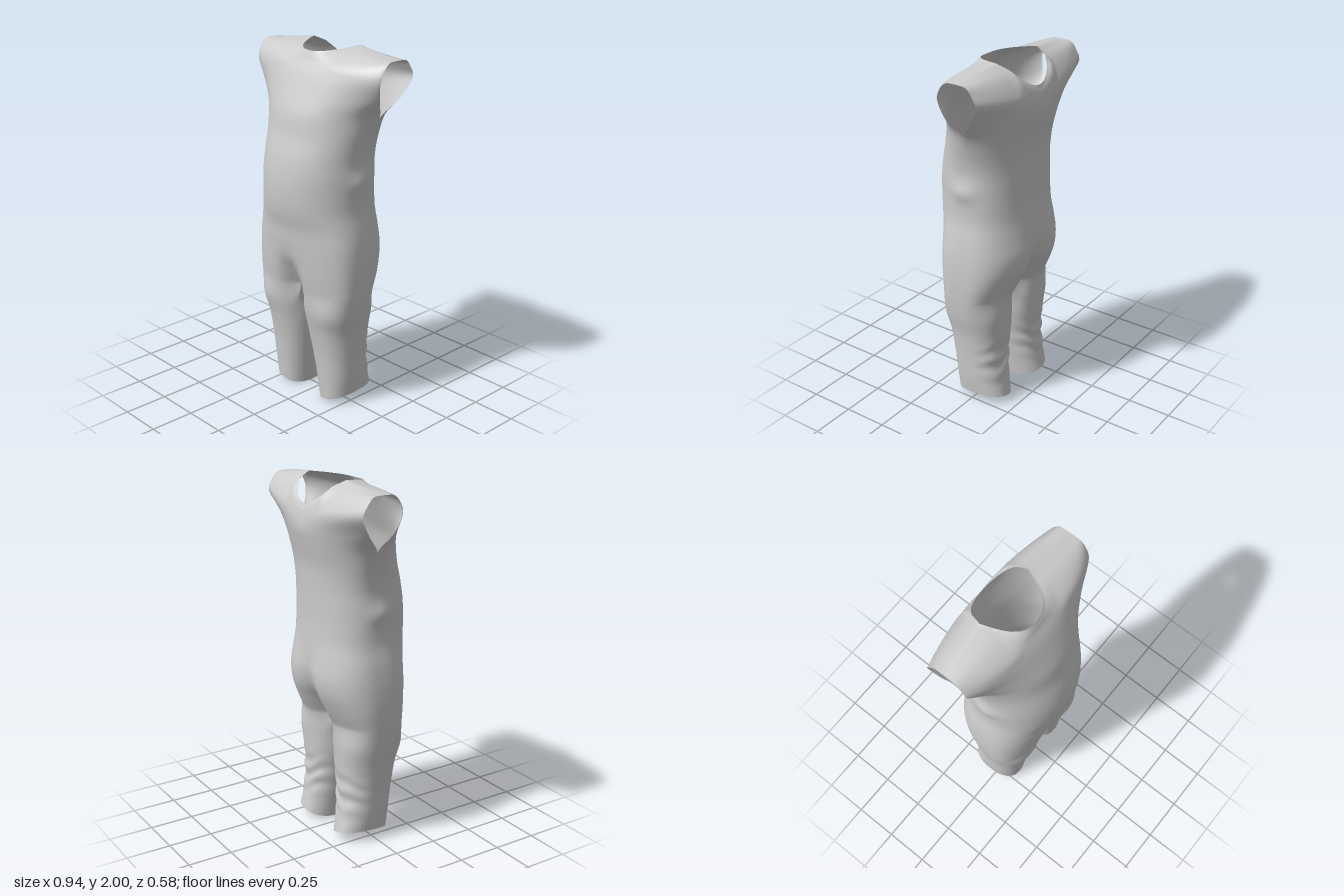
import * as THREE from 'three';
import { mergeGeometries, mergeVertices } from 'three/addons/utils/BufferGeometryUtils.js';

const N = 64;          // columns across one torso panel
const INNER = 20;      // extra columns on the inside of a leg
const CX = -0.012;     // slight sideways lean of the hips
const REACH = 0.47;    // half width over the sleeves
const NECK = REACH * Math.sin(Math.PI / 8); // half width of the neck opening

// Closed levels: y, centre x, half width, front z, back z, side z,
// front and back roundness, front and back crease
const BODY = [
  [0.68, CX, 0.353, 0.218, -0.188, 0.01, 0.56, 0.65, 0.085, 0.09],
  [0.77, CX, 0.357, 0.232, -0.232, 0.0, 0.6, 0.68, 0.05, 0.07],
  [0.86, CX, 0.356, 0.241, -0.268, 0.0, 0.64, 0.72, 0.012, 0.045],
  [0.95, CX, 0.35, 0.25, -0.28, 0.0, 0.7, 0.75, 0, 0.028],
  [1.04, CX, 0.338, 0.26, -0.268, 0.0, 0.8, 0.75, 0, 0.012],
  [1.14, -0.01, 0.32, 0.282, -0.252, 0.0, 0.9, 0.75, 0, 0],
  [1.24, -0.008, 0.317, 0.29, -0.245, 0.0, 0.95, 0.76, 0, 0],
  [1.34, -0.006, 0.316, 0.286, -0.244, 0.0, 0.95, 0.78, 0, 0],
  [1.44, -0.003, 0.315, 0.27, -0.245, -0.01, 0.93, 0.82, 0, 0],
  [1.55, 0, 0.336, 0.24, -0.252, -0.035, 0.97, 0.95, 0, 0],
  [1.66, 0, 0.378, 0.218, -0.274, -0.06, 1.1, 1.2, 0, 0],
];
// Open levels beside the armholes: edge y, half width, then centre y, centre z, edge z for each panel
const UPPER = [
  { y: 1.76, w: 0.435, front: [1.76, 0.178, 0.0], back: [1.73, -0.287, -0.148] },
  { y: 1.86, w: 0.464, front: [1.86, 0.132, 0.028], back: [1.785, -0.285, -0.206] },
  { y: 1.925, w: REACH, front: [1.92, 0.095, 0.006], back: [1.83, -0.275, -0.18] },
];
// Leg levels: y, inner reach, outer reach, front z, back z
const LEG = [
  [0.56, 0.001, 0.34, 0.197, -0.167],
  [0.44, 0.01, 0.317, 0.169, -0.16],
  [0.30, 0.03, 0.305, 0.145, -0.152],
  [0.16, 0.05, 0.298, 0.129, -0.165],
  [0.034, 0.07, 0.288, 0.116, -0.188],
];

// Point on a closed torso level; t runs from -90 to 90 degrees, side is 1 front, -1 back
function bodyPoint([y, cx, w, zf, zb, zm, eF, eB, creaseF, creaseB], t, side) {
  const x = w * Math.sin(t), isFront = side > 0;
  const round = Math.pow(Math.max(0, Math.cos(t)), isFront ? eF : eB);
  const crease = (isFront ? creaseF : creaseB) * Math.exp(-((x / 0.075) ** 2));
  return new THREE.Vector3(cx + x, y, zm + ((isFront ? zf : zb) - zm) * round - side * crease);
}

function upperPoint(level, t, side) {
  const [yc, zc, ze] = side > 0 ? level.front : level.back;
  const s = Math.sin(t);
  const round = Math.pow(Math.max(0, Math.cos(t)), side > 0 ? 1.5 : 2.1);
  return new THREE.Vector3(level.w * s, yc + (level.y - yc) * Math.abs(s), ze + (zc - ze) * round);
}

// Neckline in the middle, shoulder seam towards the sleeves
function topPoint(t, side) {
  const x = REACH * Math.sin(t), q = Math.abs(x) / NECK;
  if (q > 1 - 1e-6) {
    const k = (Math.abs(x) - NECK) / (REACH - NECK);
    return new THREE.Vector3(x, 2 - 0.035 * k, -0.12 + 0.03 * k);
  }
  return side > 0
    ? new THREE.Vector3(x, 1.97 + 0.03 * q * q, 0.07 - 0.19 * Math.pow(q, 2.7))
    : new THREE.Vector3(x, 1.87 + 0.13 * q * q, -0.26 + 0.14 * (1 - Math.sqrt(1 - q * q)));
}

// Rounds the cloth over the shoulder, fading out at the middle of the neckline
function shoulderPoint(t, side) {
  const p = upperPoint(UPPER[2], t, side).lerp(topPoint(t, side), 0.5);
  const fade = Math.min(1, (Math.abs(p.x) / NECK) ** 2);
  p.y += 0.015 * fade;
  p.z += side * 0.012 * fade;
  return p;
}

// Surface through columns of control points; skip leaves out leading spans
function loft(columns, rows, skip, flip, detail) {
  const pos = [], index = [], n = columns.length;
  columns.forEach((points) => {
    const curve = new THREE.CatmullRomCurve3(points, false, 'catmullrom', 0.5);
    const start = skip / (points.length - 1);
    for (let j = 0; j <= rows; j++) {
      const p = curve.getPoint(start + (1 - start) * j / rows);
      detail(p);
      pos.push(p.x, p.y, p.z);
    }
  });
  for (let i = 0; i < n - 1; i++) {
    for (let j = 0; j < rows; j++) {
      const a = i * (rows + 1) + j, b = a + rows + 1;
      if (flip) index.push(a, b + 1, b, a, a + 1, b + 1);
      else index.push(a, b, b + 1, a, b + 1, a + 1);
    }
  }
  const g = new THREE.BufferGeometry();
  g.setAttribute('position', new THREE.Float32BufferAttribute(pos, 3));
  g.setIndex(index);
  return g;
}

// Small pinch of cloth at each side of the waist
function waistPinch(p) {
  const reach = THREE.MathUtils.smoothstep(Math.abs(p.x), 0.2, 0.3);
  p.x += Math.sign(p.x) * 0.016 * reach * Math.exp(-(((p.y - 1.31) / 0.05) ** 2) - (p.z / 0.07) ** 2);
}

function torsoPanel(side) {
  const columns = [];
  for (let i = 0; i <= N; i++) {
    const t = side * (i / N - 0.5) * Math.PI;
    columns.push([
      ...BODY.map((l) => bodyPoint(l, t, side)),
      ...UPPER.map((l) => upperPoint(l, t, side)),
      shoulderPoint(t, side), topPoint(t, side),
    ]);
  }
  return loft(columns, 90, 0, false, waistPinch);
}

function legPoint([y, inner, outer, zf, zb], phi, m, hem) {
  const c = Math.cos(phi), s = Math.sin(phi), e = 0.85;
  const sx = Math.sign(c) * Math.abs(c) ** e, sz = Math.sign(s) * Math.abs(s) ** e;
  return new THREE.Vector3(
    CX + m * ((inner + outer) / 2 + (outer - inner) / 2 * sx),
    y + (hem ? 0.03 * c - 0.014 * s : 0),
    (zf + zb) / 2 + (zf - zb) / 2 * sz);
}

// Soft slanting folds behind the knee
function kneeFolds(p) {
  const fade = Math.exp(-(((p.y - 0.27) / 0.1) ** 2)) * THREE.MathUtils.smoothstep(-p.z, -0.04, 0.13);
  const a = Math.abs(p.x);
  p.z += 0.007 * fade * Math.sin(p.y * 62 + a * 24 + 1.2 * Math.sin(a * 32 + p.y * 9));
}

function leg(m) {
  const columns = [], open = THREE.MathUtils.degToRad(145);
  const add = (above, top, phi) => columns.push([
    above, top, ...LEG.map((l, k) => legPoint(l, phi, m, k === LEG.length - 1))]);
  // Outside: carries on from the hip, front centre to back centre
  for (let i = 0; i <= N; i++) {
    const side = i <= N / 2 ? 1 : -1;
    const t = m * (i <= N / 2 ? i : N - i) / N * Math.PI;
    const u = 1 - 2 * i / N;
    add(bodyPoint(BODY[1], t, side), bodyPoint(BODY[0], t, side), open * u * (0.76 + 0.24 * Math.abs(u)));
  }
  // Inside: hangs from the crotch seam, back to front
  const back = bodyPoint(BODY[0], 0, -1), front = bodyPoint(BODY[0], 0, 1);
  for (let i = 1; i <= INNER; i++) {
    const k = i / INNER;
    const top = back.clone().lerp(front, k);
    top.y -= 0.02 * Math.sin(Math.PI * k);
    const above = top.clone();
    above.y += 0.08;
    add(above, top, -open - (2 * Math.PI - 2 * open) * k);
  }
  return loft(columns, 50, 1, m > 0, kneeFolds);
}

export function createModel() {
  const group = new THREE.Group();
  group.name = 'sleevelessBodysuit';
  const material = new THREE.MeshStandardMaterial({ color: 0xcccccc, side: THREE.DoubleSide });

  // Weld everything once so the shading runs smoothly over the joins
  const parts = { torsoFront: torsoPanel(1), torsoBack: torsoPanel(-1), leftLeg: leg(1), rightLeg: leg(-1) };
  const whole = mergeVertices(mergeGeometries(Object.values(parts)), 1e-4);
  whole.computeVertexNormals();

  let start = 0;
  for (const [name, part] of Object.entries(parts)) {
    const count = part.index.count;
    const g = new THREE.BufferGeometry();
    g.setAttribute('position', whole.attributes.position);
    g.setAttribute('normal', whole.attributes.normal);
    g.setIndex(Array.from(whole.index.array.slice(start, start + count)));
    start += count;
    const mesh = new THREE.Mesh(g, material);
    mesh.name = name;
    group.add(mesh);
  }
  return group;
}
